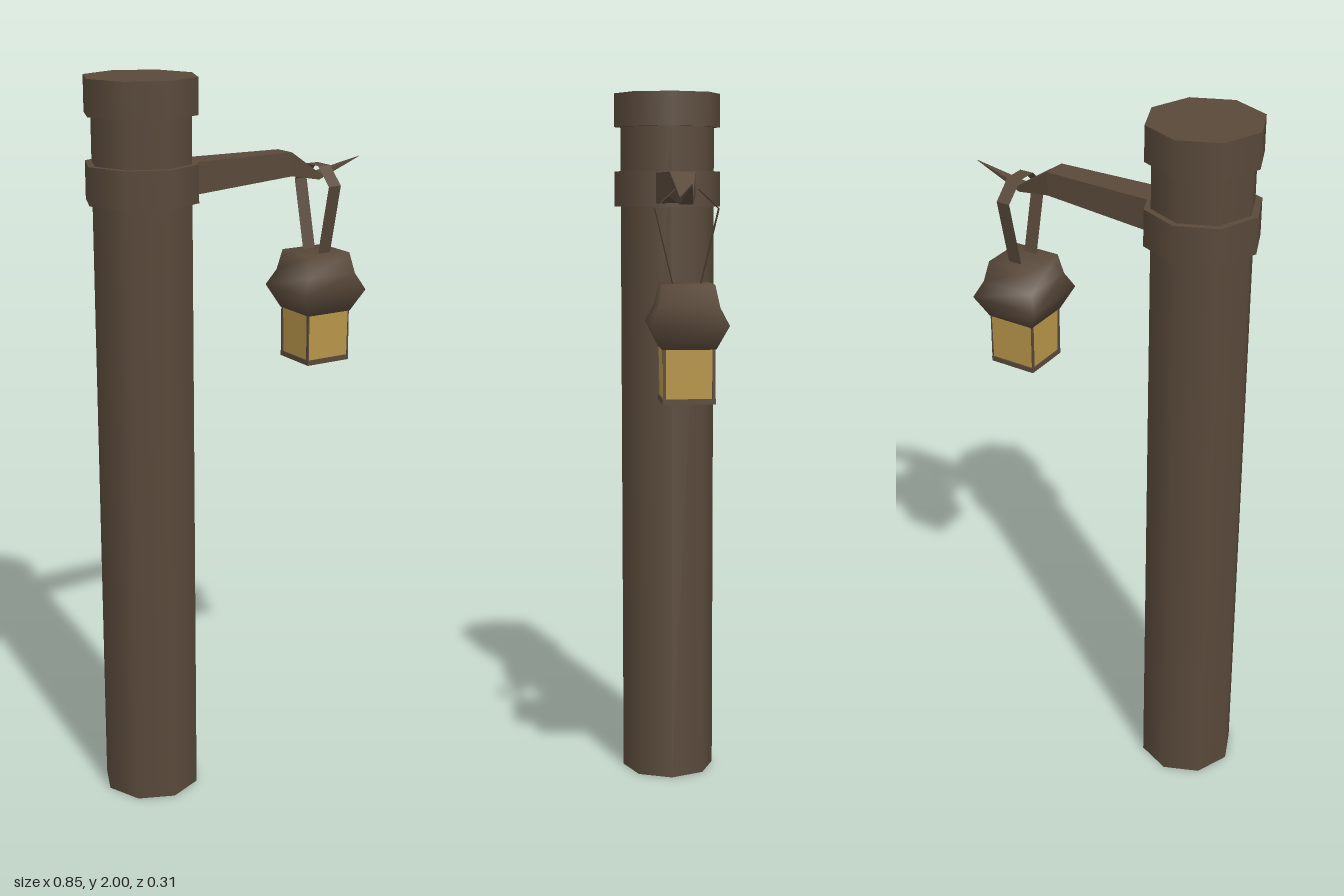
import * as THREE from 'three';

const POST_X = -0.272, LAMP_X = 0.279;

// Skin over four-cornered rings, closed at both ends
function loft(rings) {
  const index = [];
  for (let i = 0; i < rings.length - 1; i++) {
    for (let j = 0; j < 4; j++) {
      const a = i * 4 + j, b = i * 4 + (j + 1) % 4;
      index.push(a, b, b + 4, a, b + 4, a + 4);
    }
  }
  const t = (rings.length - 1) * 4;
  index.push(0, 2, 1, 0, 3, 2, t, t + 1, t + 2, t, t + 2, t + 3);
  const geo = new THREE.BufferGeometry();
  geo.setAttribute('position', new THREE.Float32BufferAttribute(rings.flat(2), 3));
  geo.setIndex(index);
  geo.computeVertexNormals();
  return geo;
}

// Square ring across y
const squareRing = (h, y) => [[h, y, h], [h, y, -h], [-h, y, -h], [-h, y, h]];
// Rectangular ring across x
const armRing = (x, low, high, w) => [[x, low, -w], [x, high, -w], [x, high, w], [x, low, w]];

export function createModel() {
  const group = new THREE.Group();
  const wood = new THREE.MeshStandardMaterial({ color: 0x59493a });
  wood.name = 'dark brown';
  const thinWood = wood.clone();
  thinWood.side = THREE.DoubleSide;
  const glow = new THREE.MeshStandardMaterial({ color: 0xb8964a });
  glow.name = 'amber glass';

  const add = (parent, name, geo, mat, x = 0, y = 0, z = 0) => {
    const mesh = new THREE.Mesh(geo, mat);
    mesh.name = name;
    mesh.position.set(x, y, z);
    parent.add(mesh);
    return mesh;
  };

  // Eight-sided hollow post with cap and collar
  add(group, 'post', new THREE.CylinderGeometry(0.135, 0.135, 1.95, 8, 1, true), thinWood, POST_X, 0.975);
  add(group, 'cap', new THREE.CylinderGeometry(0.153, 0.153, 0.095, 8), wood, POST_X, 1.9525);
  add(group, 'collar', new THREE.CylinderGeometry(0.153, 0.153, 0.1, 8), wood, POST_X, 1.73);

  // Tapering arm that dips and ends in an upturned point
  const arm = loft([
    armRing(-0.16, 1.688, 1.775, 0.045),
    armRing(0.172, 1.71, 1.775, 0.034),
    armRing(0.275, 1.69, 1.708, 0.017),
    armRing(0.42, 1.741, 1.742, 0.0005),
  ]).toNonIndexed();
  arm.computeVertexNormals();
  add(group, 'arm', arm, wood);

  const lantern = new THREE.Group();
  lantern.name = 'lantern';
  lantern.position.x = LAMP_X;
  group.add(lantern);

  // Thin ribbon handle looped over the arm
  const path = [[0.035, 1.48], [0.083, 1.68], [0.03, 1.73], [-0.03, 1.73], [-0.083, 1.68], [-0.035, 1.48]];
  const ribbon = new THREE.PlaneGeometry(0.04, 1, 1, path.length - 1);
  const pos = ribbon.attributes.position;
  for (let i = 0; i < pos.count; i++) {
    const [z, y] = path[Math.floor(i / 2)];
    pos.setXYZ(i, pos.getX(i), y, z);
  }
  const handle = ribbon.toNonIndexed();
  handle.computeVertexNormals();
  add(lantern, 'handle', handle, thinWood, 0.002);

  // Flared hood
  add(lantern, 'hood', loft([
    squareRing(0.07, 1.322), squareRing(0.101, 1.385), squareRing(0.079, 1.43), squareRing(0.067, 1.488),
  ]), wood);

  // Glass body, slightly narrower at the foot
  add(lantern, 'glass', loft([squareRing(0.065, 1.186), squareRing(0.068, 1.33)]).toNonIndexed(), glow)
    .geometry.computeVertexNormals();

  // Foot rails and corner strips
  for (const s of [-1, 1]) {
    add(lantern, 'footRailSide', new THREE.BoxGeometry(0.008, 0.014, 0.138), wood, s * 0.065, 1.187, 0);
    add(lantern, 'footRailFront', new THREE.BoxGeometry(0.138, 0.014, 0.008), wood, 0, 1.187, s * 0.065);
    for (const t of [-1, 1]) {
      add(lantern, 'cornerStrip', new THREE.BoxGeometry(0.004, 0.14, 0.008), wood, s * 0.067, 1.258, t * 0.064);
    }
  }
  return group;
}
